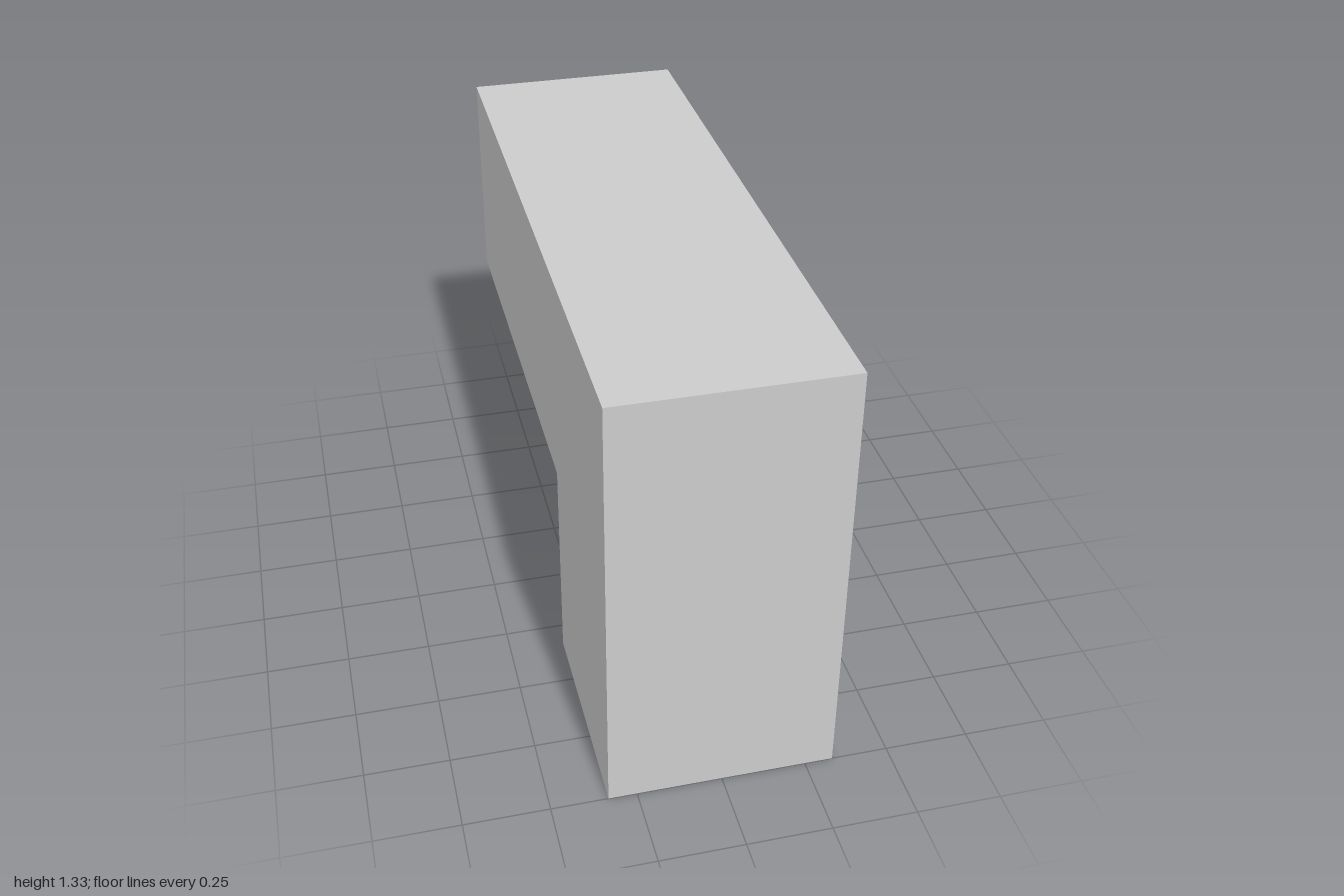
import * as THREE from 'three';

export function createModel() {
  const group = new THREE.Group();
  const unit = 2 / 3; // edge of one cube of the block

  // L-shaped side profile as (z, y): long bar on top, short leg at the front
  const profile = new THREE.Shape([
    [1, 0], [1, 2 * unit], [-1, 2 * unit], [-1, unit], [1 - unit, unit], [1 - unit, 0],
  ].map(([z, y]) => new THREE.Vector2(z, y)));

  // Extrude across the width, centre it, and turn the profile to face sideways
  const geometry = new THREE.ExtrudeGeometry(profile, { depth: unit, bevelEnabled: false });
  geometry.translate(0, 0, -unit / 2).rotateY(-Math.PI / 2);

  const block = new THREE.Mesh(
    geometry,
    new THREE.MeshStandardMaterial({ color: 0xcccccc, flatShading: true }),
  );
  block.name = 'lShapedBlock';
  group.add(block);
  return group;
}
